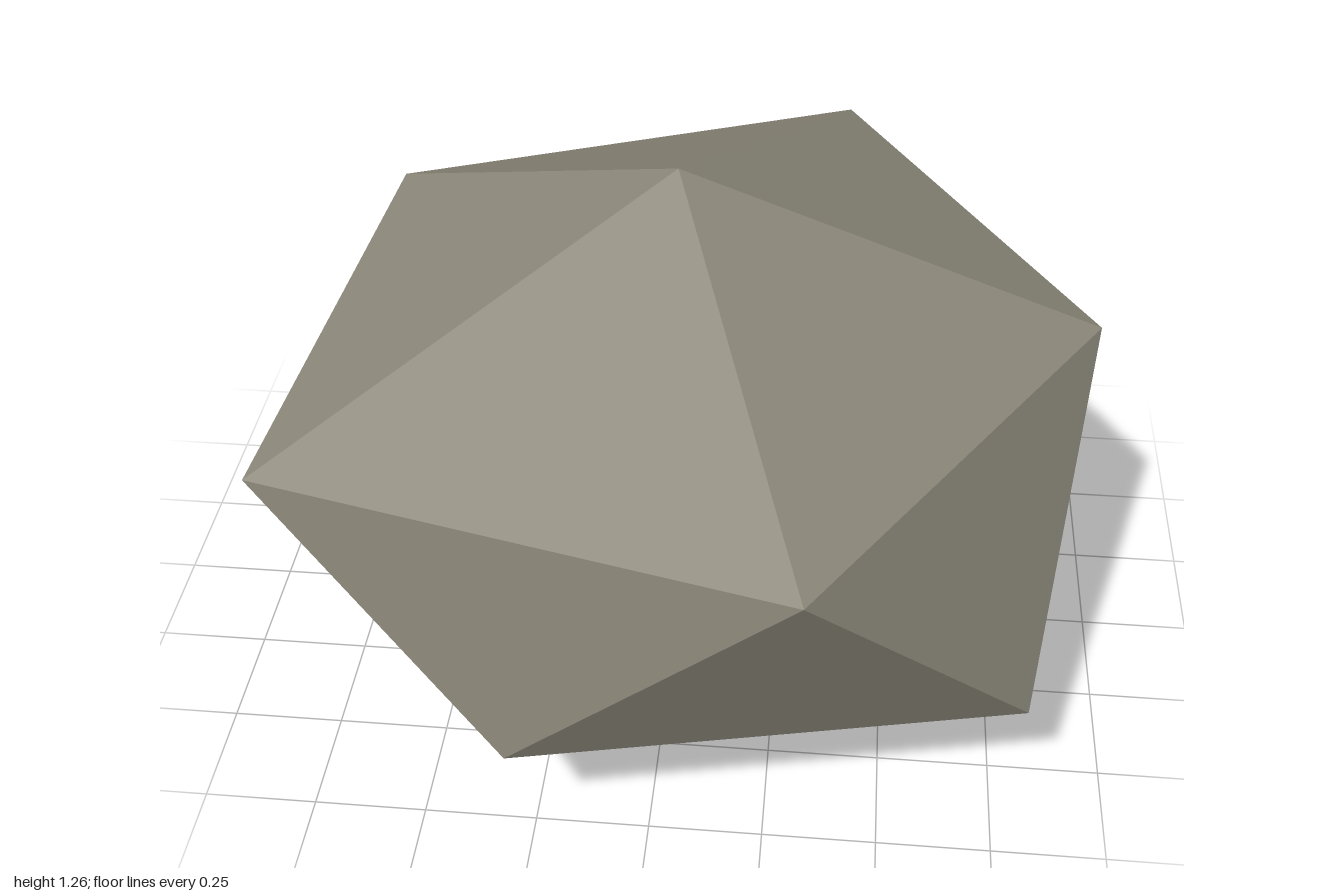
import * as THREE from 'three';

// Faceted boulder: two staggered five-sided rings capped by a point above and below
export function createModel() {
  const group = new THREE.Group();
  group.name = 'boulder';

  const stone = new THREE.MeshStandardMaterial({ color: 0x8c887a, flatShading: true });
  stone.name = 'warm grey stone';

  const ring = (y, points) => points.map(([x, z]) => [x, y, z]);
  const top = [0, 1.26, 0.04];
  const bottom = [0, 0, 0.04];
  const upper = ring(0.91, [[0.93, 0.04], [0.32, 1.0], [-0.8, 0.73], [-0.72, -0.47], [0.36, -0.9]]);
  const lower = ring(0.35, [[0.8, 0.67], [-0.28, 0.9], [-0.93, 0.04], [-0.28, -1.0], [0.87, -0.5]]);

  // Each step adds a crown facet, two side facets and a base facet
  const positions = [];
  const facet = (a, b, c) => positions.push(...a, ...b, ...c);
  for (let i = 0; i < 5; i++) {
    const j = (i + 1) % 5;
    facet(top, upper[j], upper[i]);
    facet(upper[i], upper[j], lower[i]);
    facet(upper[j], lower[j], lower[i]);
    facet(bottom, lower[i], lower[j]);
  }

  const geometry = new THREE.BufferGeometry();
  geometry.setAttribute('position', new THREE.Float32BufferAttribute(positions, 3));
  geometry.computeVertexNormals();

  const rock = new THREE.Mesh(geometry, stone);
  rock.name = 'rock';
  group.add(rock);
  return group;
}
